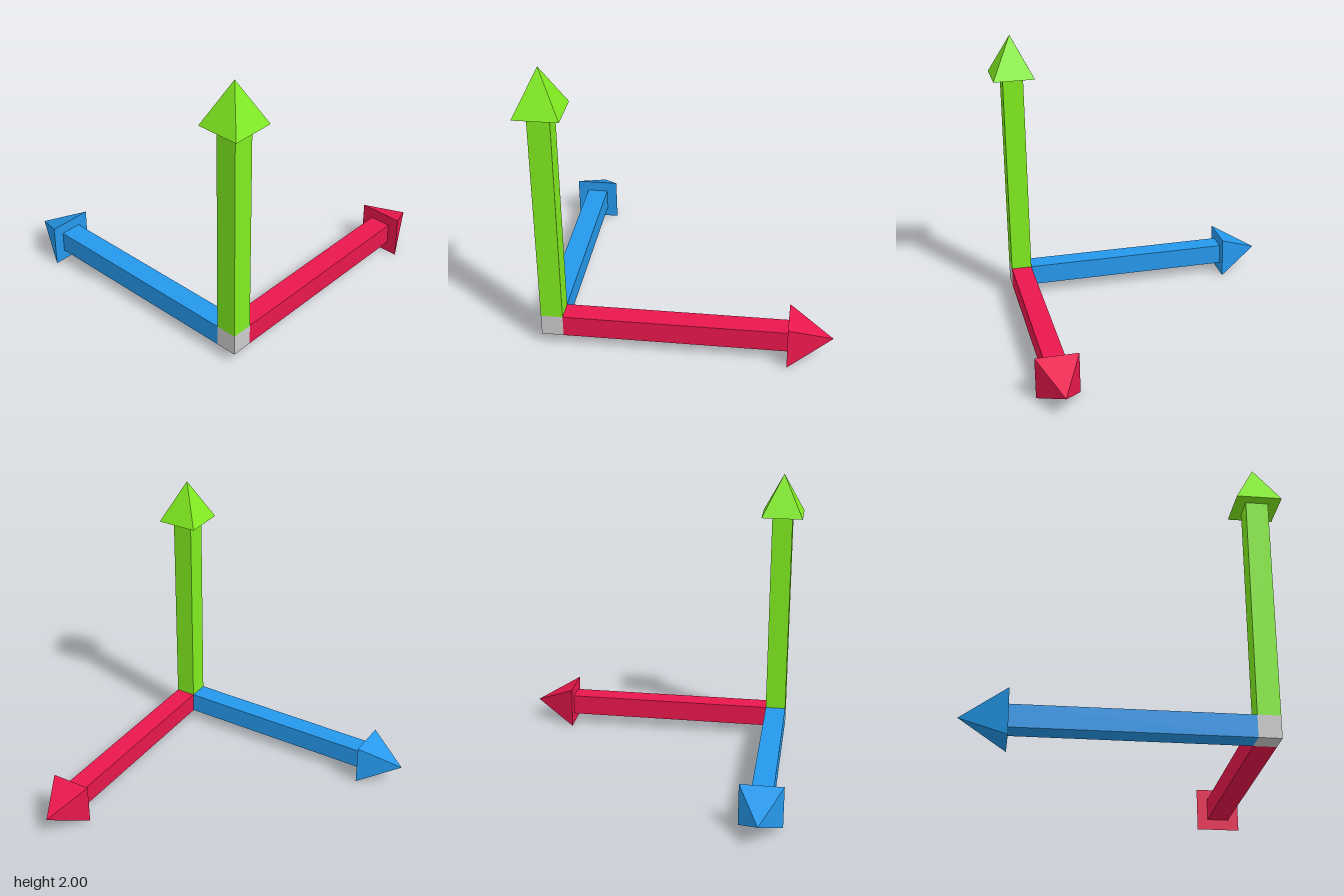
import * as THREE from 'three';

const HALF = 0.073;      // half the shaft thickness
const HEAD = 0.147;      // half the head width
const NECK = 1.558;      // where the head starts, from the hub centre
const TIP = 1.853;       // tip of the arrow, from the hub centre

// Square arrow pointing along +y from the face of the hub
function createArrow(name, color) {
  const arrow = new THREE.Group();
  arrow.name = name;
  const material = new THREE.MeshStandardMaterial({ color, flatShading: true });

  const shaft = new THREE.Mesh(new THREE.BoxGeometry(HALF * 2, NECK - HALF, HALF * 2), material);
  shaft.name = name + 'Shaft';
  shaft.position.y = (NECK + HALF) / 2;

  // Four-sided pyramid, turned so its sides line up with the shaft
  const headGeometry = new THREE.ConeGeometry(HEAD * Math.SQRT2, TIP - NECK, 4).rotateY(Math.PI / 4);
  const head = new THREE.Mesh(headGeometry, material);
  head.name = name + 'Head';
  head.position.y = (NECK + TIP) / 2;

  arrow.add(shaft, head);
  return arrow;
}

export function createModel() {
  const model = new THREE.Group();
  model.name = 'axisArrows';

  // Everything hangs off the hub at the corner
  const corner = new THREE.Group();
  corner.name = 'corner';
  corner.position.set(-0.853, HEAD, 0.853);
  model.add(corner);

  const hub = new THREE.Mesh(
    new THREE.BoxGeometry(HALF * 2, HALF * 2, HALF * 2),
    new THREE.MeshStandardMaterial({ color: 0xcccccc, flatShading: true })
  );
  hub.name = 'hub';

  const upArrow = createArrow('upArrow', 0x80ec1f);
  const sideArrow = createArrow('sideArrow', 0xe9174c);
  sideArrow.rotation.z = -Math.PI / 2;
  const backArrow = createArrow('backArrow', 0x2598ec);
  backArrow.rotation.x = -Math.PI / 2;

  corner.add(hub, upArrow, sideArrow, backArrow);
  return model;
}
